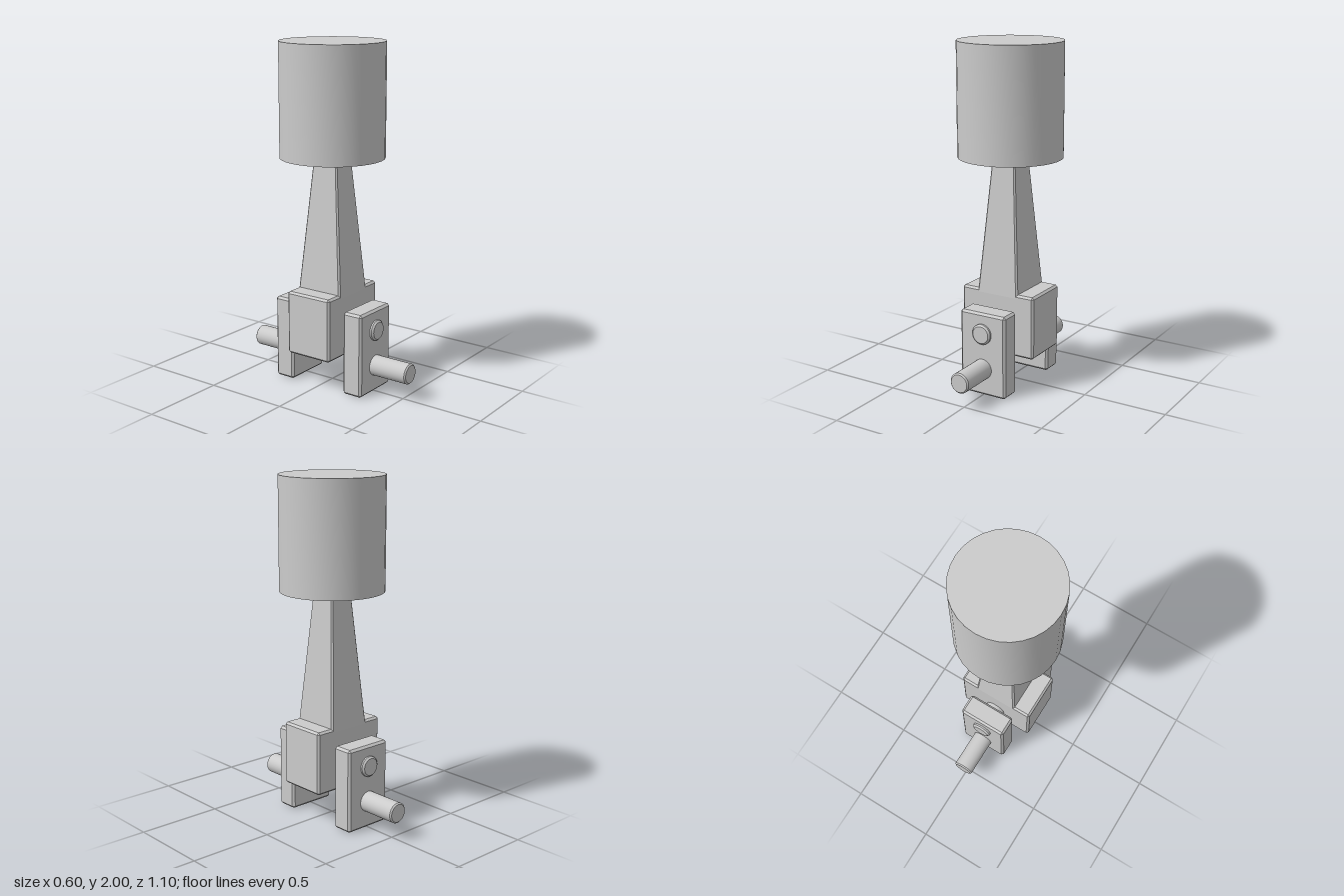
import * as THREE from 'three';
import { toCreasedNormals } from 'three/addons/utils/BufferGeometryUtils.js';
import { ConvexGeometry } from 'three/addons/geometries/ConvexGeometry.js';

const material = new THREE.MeshStandardMaterial({ color: 0xcccccc });

function addMesh(parent, name, geometry, x = 0, y = 0, z = 0) {
  const mesh = new THREE.Mesh(geometry, material);
  mesh.name = name;
  mesh.position.set(x, y, z);
  parent.add(mesh);
  return mesh;
}

// Box with every edge cut by a flat chamfer c
function chamferBox(w, h, d, c) {
  const [x, y, z] = [w / 2, h / 2, d / 2];
  const points = [];
  for (const sx of [-1, 1]) for (const sy of [-1, 1]) for (const sz of [-1, 1]) {
    points.push(
      new THREE.Vector3(sx * x, sy * (y - c), sz * (z - c)),
      new THREE.Vector3(sx * (x - c), sy * y, sz * (z - c)),
      new THREE.Vector3(sx * (x - c), sy * (y - c), sz * z)
    );
  }
  return new ConvexGeometry(points);
}

// Tapered bar with chamfered long edges; each section is [y, half width, half depth, chamfer]
function taperedBar(sections) {
  const points = [];
  for (const [y, x, z, c] of sections)
    for (const sx of [-1, 1]) for (const sz of [-1, 1]) {
      points.push(new THREE.Vector3(sx * x, y, sz * (z - c)));
      points.push(new THREE.Vector3(sx * (x - c), y, sz * z));
    }
  return new ConvexGeometry(points);
}

// Turned solid with smooth walls and sharp rims
function turned(profile, segments) {
  const points = profile.map(([r, y]) => new THREE.Vector2(r, y));
  return toCreasedNormals(new THREE.LatheGeometry(points, segments), 0.5);
}

// Round pin along z with chamfered ends
function pin(length, r, c) {
  const h = length / 2;
  return turned([[0, -h], [r - c, -h], [r, c - h], [r, h - c], [r - c, h], [0, h]], 32)
    .rotateX(Math.PI / 2);
}

export function createModel() {
  const model = new THREE.Group();
  model.name = 'pistonAndCrank';

  // Hollow piston, open underneath
  addMesh(model, 'piston', turned([
    [0, 1.95], [0.255, 1.95], [0.255, 1.345], [0.302, 1.345], [0.302, 2], [0, 2]
  ], 32));

  // Connecting rod running up into the piston, and its big end
  addMesh(model, 'connectingRod', taperedBar([
    [0.56, 0.134, 0.149, 0.01],
    [1.95, 0.027, 0.027, 0.006]
  ]));
  addMesh(model, 'bigEnd', chamferBox(0.476, 0.375, 0.296, 0.012), 0, 0.393, 0);

  // Crank pin through the big end and both webs
  addMesh(model, 'crankPin', pin(0.656, 0.06, 0.01), 0, 0.373, 0);

  // Mirrored crank webs with their main shafts
  for (const [side, s] of [['front', 1], ['back', -1]]) {
    addMesh(model, side + 'CrankWeb', chamferBox(0.298, 0.496, 0.127, 0.013), 0, 0.248, s * 0.244);
    addMesh(model, side + 'Shaft', pin(0.386, 0.06, 0.008), 0, 0.16, s * 0.355);
  }

  return model;
}
